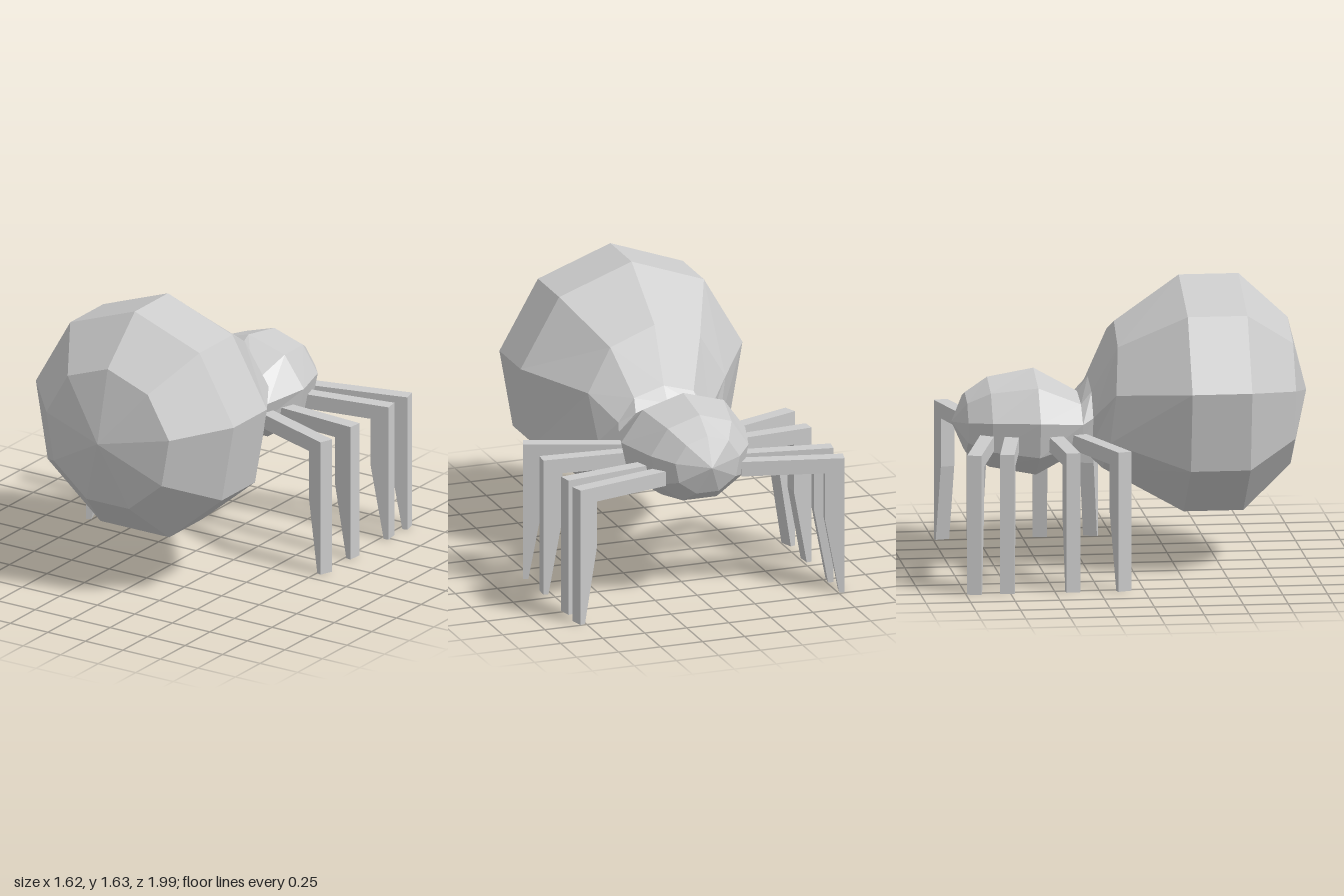
import * as THREE from 'three';

const SIDES = 9;
const grey = new THREE.MeshStandardMaterial({ color: 0xcccccc, flatShading: true });

// Faceted skin through nine-sided rings, ordered from front (+z) to back.
// tilt shifts a ring in z according to height.
function loft(name, rings) {
  const pos = [];
  const index = [];
  for (const { z, y, rx, ry = rx, tilt = 0 } of rings) {
    for (let i = 0; i < SIDES; i++) {
      const t = (i / SIDES) * Math.PI * 2;
      const h = ry * Math.cos(t);
      pos.push(rx * Math.sin(t), y + h, z + tilt * h);
    }
  }
  for (let r = 0; r < rings.length - 1; r++) {
    for (let i = 0; i < SIDES; i++) {
      const j = (i + 1) % SIDES;
      const a = r * SIDES + i, b = r * SIDES + j;
      const c = a + SIDES, d = b + SIDES;
      if (rings[r].rx > 0) index.push(a, b, c);
      if (rings[r + 1].rx > 0) index.push(b, d, c);
    }
  }
  const indexed = new THREE.BufferGeometry();
  indexed.setAttribute('position', new THREE.Float32BufferAttribute(pos, 3));
  indexed.setIndex(index);
  const geo = indexed.toNonIndexed();
  geo.computeVertexNormals();
  const mesh = new THREE.Mesh(geo, grey);
  mesh.name = name;
  return mesh;
}

// Bent leg: level upper arm and a tapering shin, outer edge at local x = 0
function legGeometry(length) {
  const shape = new THREE.Shape([
    [-length, 0.79], [-length, 0.705], [-0.11, 0.705], [-0.11, 0.43],
    [-0.03, 0], [0, 0], [0, 0.79],
  ].map(([x, y]) => new THREE.Vector2(x, y)));
  const geo = new THREE.ExtrudeGeometry(shape, { depth: 0.08, bevelEnabled: false });
  return geo.translate(0, 0, -0.04);
}

export function createModel() {
  const model = new THREE.Group();
  model.name = 'spider';

  // Narrow waist shared by both body halves
  const waist = { z: -0.285, y: 0.817, rx: 0.295, ry: 0.165 };

  model.add(loft('abdomen', [
    { z: 1.0, y: 0.96, rx: 0 },
    { z: 0.895, y: 0.96, rx: 0.415 },
    { z: 0.62, y: 0.96, rx: 0.67 },
    { z: 0.285, y: 0.96, rx: 0.67 },
    { z: -0.12, y: 0.96, rx: 0.415, tilt: 0.1 },
    { z: -0.225, y: 0.84, rx: 0.275, ry: 0.225 },
    waist,
  ]));

  model.add(loft('head', [
    waist,
    { z: -0.53, y: 0.82, rx: 0.375, ry: 0.3 },
    { z: -0.79, y: 0.822, rx: 0.295, ry: 0.253 },
    { z: -0.915, y: 0.82, rx: 0.195, ry: 0.17 },
    { z: -0.99, y: 0.825, rx: 0 },
  ]));

  // Four leg pairs: foot z and splay slope (dz per unit outward)
  const pairs = [[-0.955, -0.25], [-0.77, -0.17], [-0.4, 0.08], [-0.11, 0.37]];
  pairs.forEach(([z, slope], n) => {
    const angle = Math.atan(slope);
    const geo = legGeometry(0.56 / Math.cos(angle));
    for (const side of [1, -1]) {
      const leg = new THREE.Mesh(geo, grey);
      leg.name = `${side > 0 ? 'left' : 'right'}Leg${n + 1}`;
      leg.position.set(side * 0.795, 0, z);
      leg.rotation.y = side > 0 ? -angle : Math.PI + angle;
      model.add(leg);
    }
  });

  return model;
}
